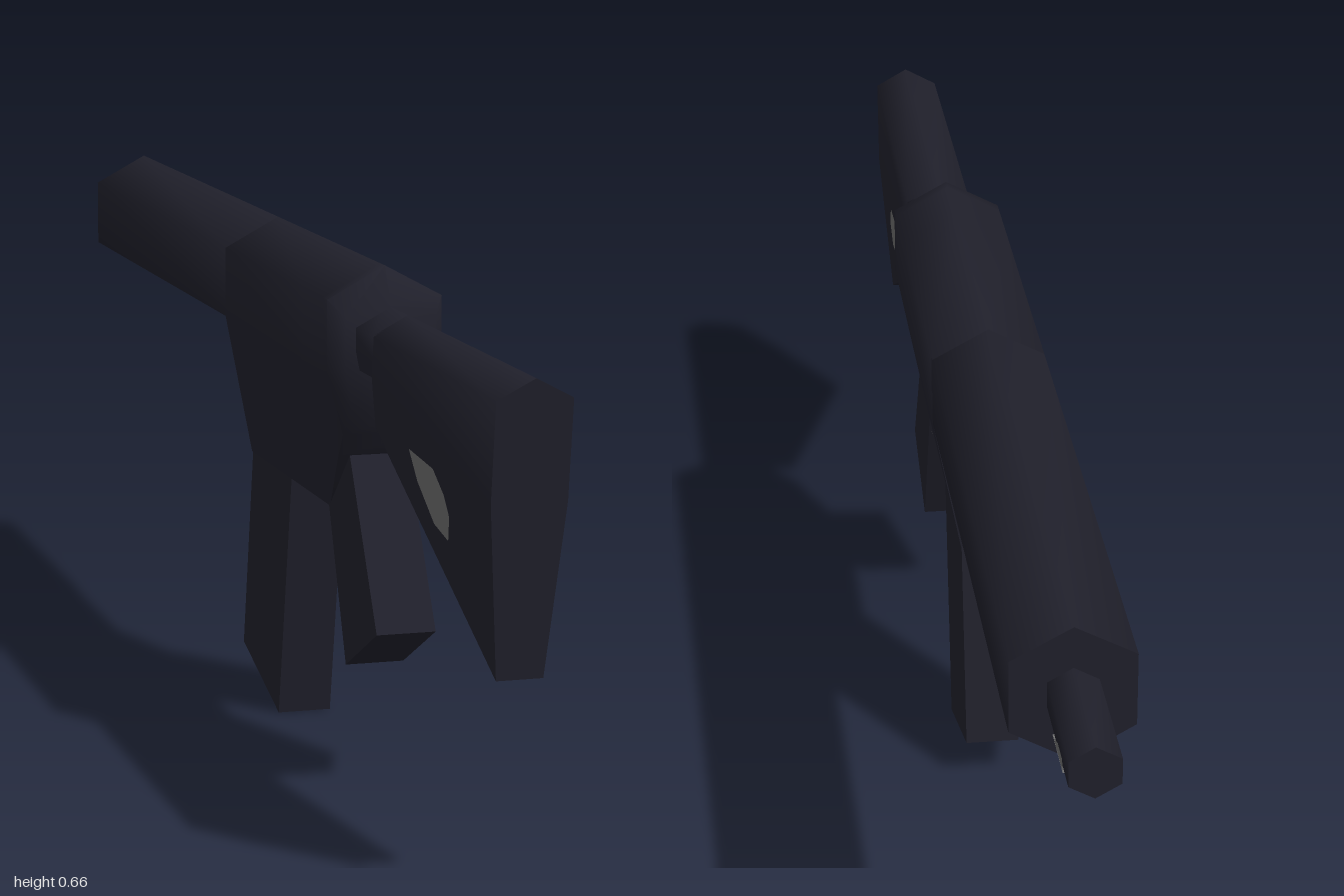
import * as THREE from 'three';
import { toCreasedNormals } from 'three/addons/utils/BufferGeometryUtils.js';

const CREASE = 1.16;

// Turns a right-half outline [x, y] (top to bottom) into a closed ring at depth z; zLow leans the lower end.
function ring(half, z, zLow = z) {
  const top = half[0][1], low = half[half.length - 1][1];
  const at = ([x, y], s) => [s * x, y, z + (zLow - z) * (top - y) / (top - low)];
  const right = half.filter(p => p[0] > 0).map(p => at(p, 1)).reverse();
  const left = half.filter(p => p[0] > 0).map(p => at(p, -1));
  const pts = [...right, at(half[0], 1), ...left];
  if (low !== undefined && half[half.length - 1][0] === 0) pts.push(at(half[half.length - 1], 1));
  return pts;
}

// Skins a row of rings (ordered towards +z) and caps both ends.
function loft(rings) {
  const n = rings[0].length, index = [];
  for (let r = 0; r < rings.length - 1; r++) {
    for (let i = 0; i < n; i++) {
      const a = r * n + i, b = r * n + (i + 1) % n;
      index.push(a, b, b + n, a, b + n, a + n);
    }
  }
  const last = (rings.length - 1) * n;
  for (let i = 1; i < n - 1; i++) {
    index.push(0, i + 1, i, last, last + i, last + i + 1);
  }
  const g = new THREE.BufferGeometry();
  g.setAttribute('position', new THREE.Float32BufferAttribute(rings.flat(2), 3));
  g.setIndex(index);
  return toCreasedNormals(g, CREASE);
}

// Side outline [z, y] extruded across x.
function slab(points, halfWidth) {
  const shape = new THREE.Shape(points.map(p => new THREE.Vector2(...p)));
  const g = new THREE.ExtrudeGeometry(shape, { depth: halfWidth * 2, bevelEnabled: false });
  return g.translate(0, 0, -halfWidth).rotateY(-Math.PI / 2);
}

// Flat patch laid over a side; xOf gives the surface distance for each height.
function patch(points, xOf, side) {
  const g = new THREE.ShapeGeometry(new THREE.Shape(points.map(p => new THREE.Vector2(...p))));
  const p = g.attributes.position;
  for (let i = 0; i < p.count; i++) {
    const z = p.getX(i), y = p.getY(i);
    p.setXYZ(i, side * xOf(y), y, z);
  }
  g.computeVertexNormals();
  return g;
}

export function createModel() {
  const group = new THREE.Group();
  const dark = new THREE.MeshStandardMaterial({ color: 0x20202b });
  dark.name = 'dark gunmetal';
  const grey = new THREE.MeshStandardMaterial({ color: 0x6c6c6c, side: THREE.DoubleSide });
  grey.name = 'worn grey';
  const add = (name, geometry, material = dark) => {
    const mesh = new THREE.Mesh(geometry, material);
    mesh.name = name;
    group.add(mesh);
  };

  // Barrel and handguard, both six-sided
  const barrel = [[0, 0.607], [0.03, 0.59], [0.03, 0.558], [0, 0.541]];
  add('barrel', loft([ring(barrel, -1), ring(barrel, -0.8)]));
  const guard = [[0, 0.66], [0.074, 0.62], [0.074, 0.527], [0, 0.485]];
  add('handguard', loft([ring(guard, -0.83), ring(guard, -0.04)]));

  // Receiver, tapering to a narrow underside and a chamfered rear
  const main = [[0, 0.66], [0.074, 0.62], [0.074, 0.527], [0.037, 0.338]];
  add('receiver', loft([
    ring(main, -0.05),
    ring(main, 0.33),
    ring([[0, 0.66], [0.074, 0.62], [0.074, 0.527], [0.053, 0.42]], 0.42),
    ring([[0, 0.66], [0.074, 0.62], [0.074, 0.53], [0.053, 0.45]], 0.44),
    ring([[0, 0.615], [0.058, 0.6], [0.058, 0.535], [0.05, 0.485]], 0.467),
  ]));

  // Magazine and grip
  add('magazine', slab([[0.15, 0.36], [0.082, 0.002], [-0.1, 0.058], [-0.048, 0.34], [-0.048, 0.38], [0.14, 0.38]], 0.036));
  add('grip', slab([[0.32, 0.36], [0.405, 0.148], [0.537, 0.217], [0.42, 0.42], [0.39, 0.46], [0.32, 0.44]], 0.038));

  // Stock with its connecting neck
  const neck = [[0, 0.612], [0.045, 0.588], [0.045, 0.56], [0.04, 0.535]];
  add('stockNeck', loft([ring(neck, 0.44), ring(neck, 0.54)]));
  add('stock', loft([
    ring([[0, 0.612], [0.045, 0.588], [0.045, 0.535], [0.04, 0.475]], 0.535),
    ring([[0, 0.612], [0.045, 0.588], [0.045, 0.47], [0.028, 0.263]], 1, 0.957),
  ]));

  // Worn patches on both sides
  for (const s of [1, -1]) {
    add('stockPatch', patch(
      [[0.83, 0.425], [0.815, 0.448], [0.78, 0.472], [0.69, 0.479], [0.715, 0.445], [0.77, 0.405], [0.82, 0.395]],
      y => 0.049 - (0.505 - y) * 0.08, s), grey);
    add('barrelPatch', patch(
      [[-0.9, 0.559], [-0.97, 0.559], [-0.965, 0.572], [-0.93, 0.572]], () => 0.032, s), grey);
    add('barrelUnderPatch', patch(
      [[-0.87, 0.55], [-0.96, 0.55], [-0.97, 0.558], [-0.89, 0.558]],
      y => 0.032 - (0.558 - y) * 1.76, s), grey);
  }
  add('receiverMark', patch([[0.212, 0.37], [0.228, 0.37], [0.228, 0.383], [0.212, 0.383]],
    y => 0.039 + (y - 0.338) * 0.196, 1), grey);

  return group;
}
